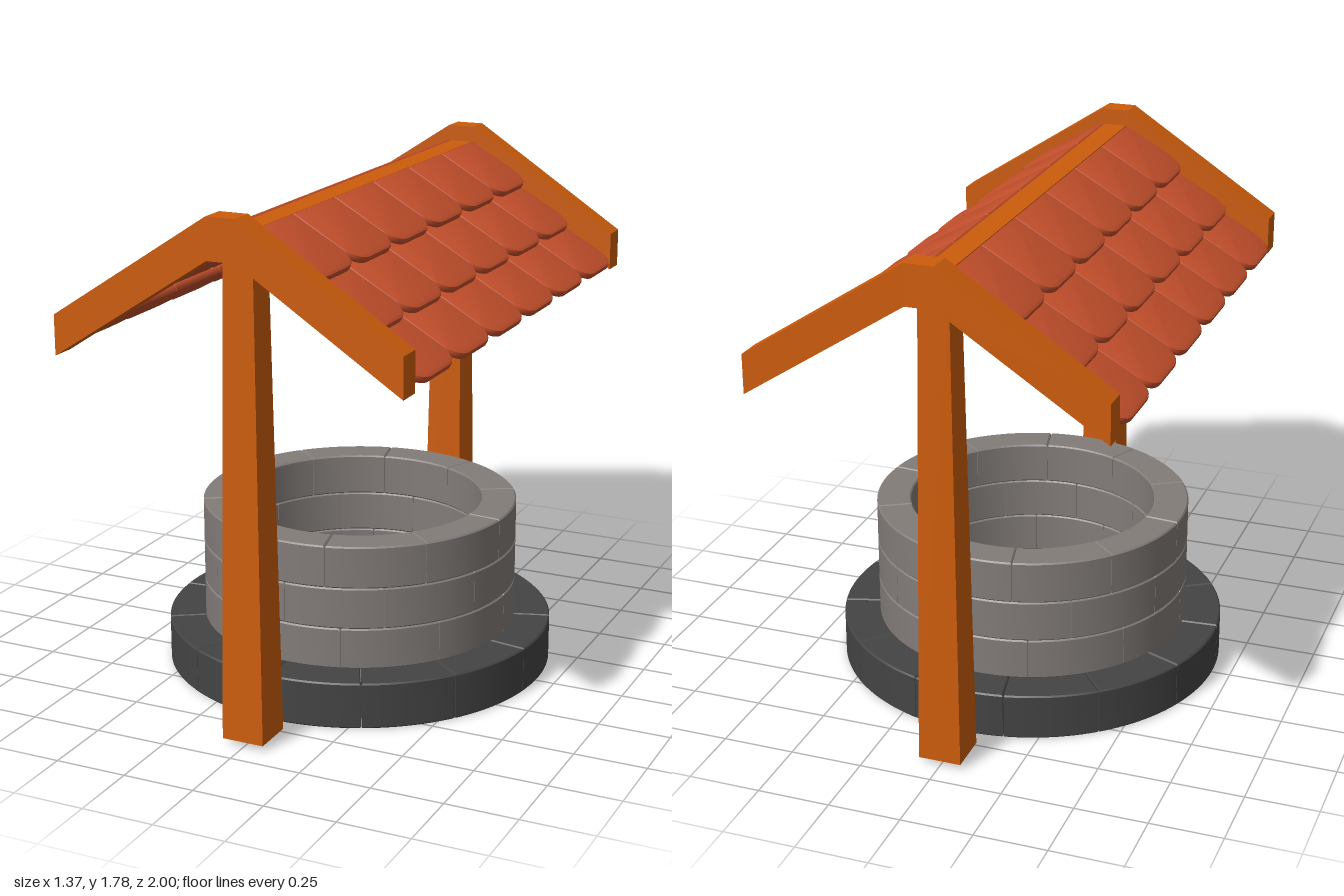
import * as THREE from 'three';
import { toCreasedNormals } from 'three/addons/utils/BufferGeometryUtils.js';

const mat = (color, flatShading = false) => new THREE.MeshStandardMaterial({ color, flatShading });
const wood = mat(0xcc5c0c, true), tileRed = mat(0xc5502c);
const stoneGrey = mat(0x827c79), baseGrey = mat(0x444444);

// Extrusion of total height h whose bevel stays inside the outline
function bevelled(shape, h, b, curveSegments, bevelSegments = 1) {
  const g = new THREE.ExtrudeGeometry(shape, {
    depth: h - 2 * b, bevelEnabled: true, bevelThickness: b, bevelSize: b,
    bevelOffset: -b, bevelSegments, curveSegments,
  });
  g.translate(0, 0, b);
  return toCreasedNormals(g, 0.6);
}

function add(parent, name, geometry, material) {
  const m = new THREE.Mesh(geometry, material);
  m.name = name;
  parent.add(m);
  return m;
}

// Ring of curved blocks; startDeg is the first joint, measured from +z towards +x
function stoneRing(name, count, inner, outer, y0, y1, startDeg, material) {
  const ring = new THREE.Group();
  ring.name = name;
  const step = (Math.PI * 2) / count, gap = 0.0015;
  const s = new THREE.Shape();
  s.absarc(0, 0, outer, -Math.PI / 2 + gap, -Math.PI / 2 + step - gap, false);
  s.absarc(0, 0, inner, -Math.PI / 2 + step - gap, -Math.PI / 2 + gap, true);
  s.closePath();
  const g = bevelled(s, y1 - y0, 0.005, 6).rotateX(-Math.PI / 2);
  for (let i = 0; i < count; i++) {
    const stone = add(ring, 'stone', g, material);
    stone.position.y = y0;
    stone.rotation.y = THREE.MathUtils.degToRad(startDeg) + i * step;
  }
  return ring;
}

// Roof tile: square at the top, rounded at the lower end (local y runs upslope)
function tileGeometry(w, length, thickness) {
  const r = 0.07, h = w / 2;
  const s = new THREE.Shape();
  s.moveTo(-h + r, 0);
  s.lineTo(h - r, 0);
  s.quadraticCurveTo(h - 0.008, 0.008, h, r);
  s.lineTo(h, length);
  s.lineTo(-h, length);
  s.lineTo(-h, r);
  s.quadraticCurveTo(-h + 0.008, 0.008, -h + r, 0);
  return bevelled(s, thickness, 0.009, 8, 2).translate(0, 0, -thickness / 2);
}

export function createModel() {
  const well = new THREE.Group();
  well.name = 'well';

  // Stonework: wide dark base and three staggered courses
  well.add(stoneRing('baseRing', 13, 0.5, 0.685, 0, 0.162, -2.5, baseGrey));
  [[0.16, 0.305, 18], [0.305, 0.45, -2.5], [0.45, 0.598, 12.5]].forEach(([a, b, start], i) =>
    well.add(stoneRing('wallCourse' + (i + 1), 10, 0.435, 0.557, a, b, start, stoneGrey)));

  // Tapered posts
  const postH = 1.64;
  const postG = new THREE.CylinderGeometry(0.052 * Math.SQRT2, 0.074 * Math.SQRT2, postH, 4)
    .rotateY(Math.PI / 4);

  // Gable beams, bent at the ridge
  const gable = new THREE.Shape([
    [-0.605, 1.285], [-0.05, 1.645], [0.05, 1.645], [0.605, 1.285],
    [0.605, 1.42], [0.05, 1.783], [-0.05, 1.783], [-0.605, 1.42],
  ].map(([x, y]) => new THREE.Vector2(x, y)));
  const gableG = new THREE.ExtrudeGeometry(gable, { depth: 0.088, bevelEnabled: false })
    .translate(0, 0, 0.912);

  for (const side of [1, -1]) {
    const label = side > 0 ? 'front' : 'back';
    add(well, label + 'Post', postG, wood).position.set(0, 0.02 + postH / 2, side * 0.84);
    add(well, label + 'Gable', gableG, wood).rotation.y = side > 0 ? 0 : Math.PI;
  }

  // Ridge beam
  add(well, 'ridgeBeam', new THREE.BoxGeometry(0.084, 0.08, 1.826), wood).position.y = 1.685;

  // Two roof slopes of overlapping tiles
  const pitch = Math.PI / 6, c = Math.cos(pitch), sn = Math.sin(pitch);
  const tileG = tileGeometry(0.3, 0.27, 0.028).applyMatrix4(new THREE.Matrix4().makeBasis(
    new THREE.Vector3(0, 0, -1), new THREE.Vector3(-c, sn, 0), new THREE.Vector3(sn, c, 0)));
  for (const side of [1, -1]) {
    const slope = new THREE.Group();
    slope.name = side > 0 ? 'leftRoof' : 'rightRoof';
    for (const [x, y] of [[0.275, 1.584], [0.453, 1.439], [0.619, 1.309]])
      for (let i = 0; i < 6; i++)
        add(slope, 'roofTile', tileG, tileRed).position.set(x, y, (i - 2.5) * 0.303);
    if (side < 0) slope.rotation.y = Math.PI;
    well.add(slope);
  }
  return well;
}
